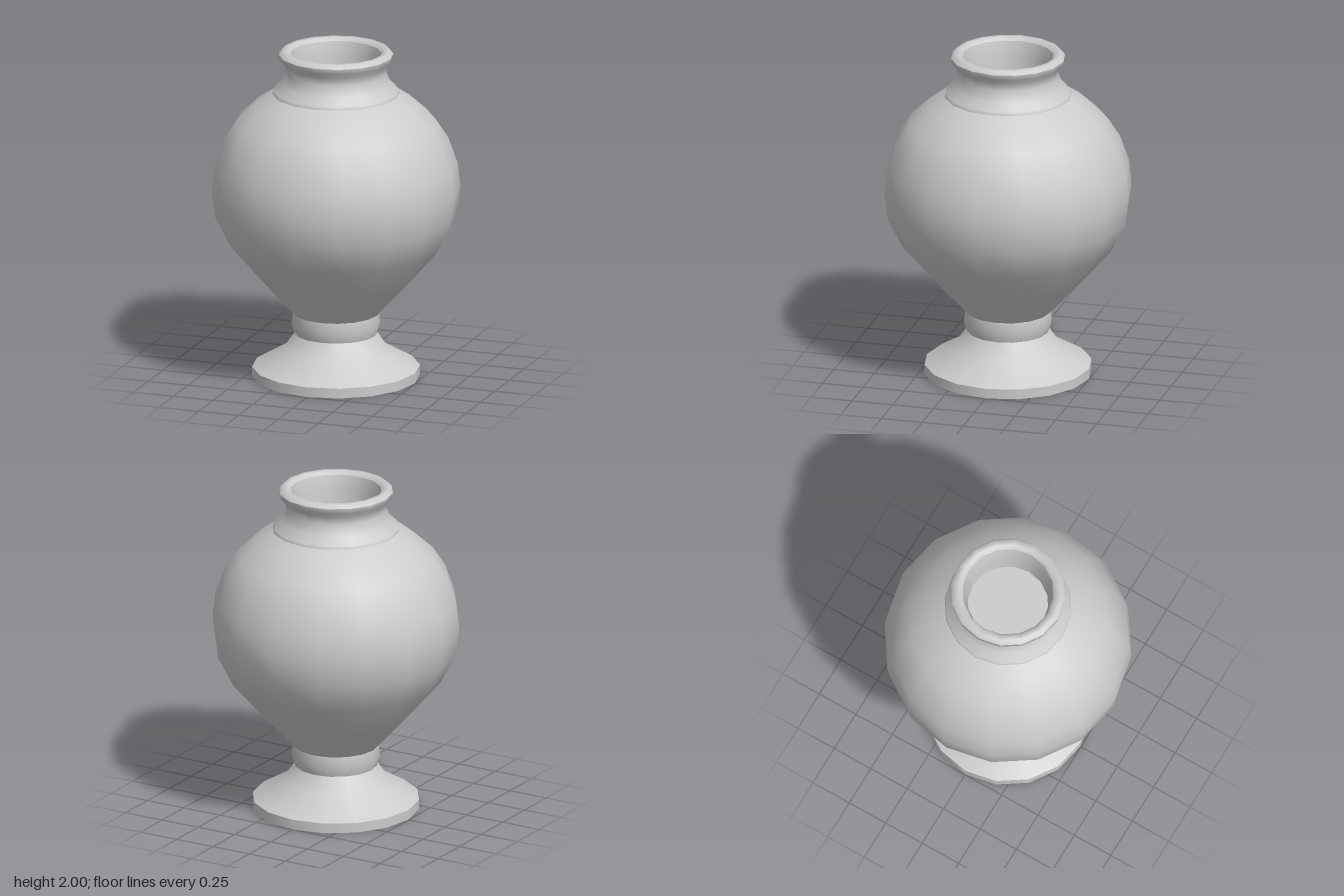
import * as THREE from 'three';

const SIDES = 16;

// Each section is one smooth band of [radius, y] points; edges between sections stay sharp.
// Points run from the underside up the outside, over the lip and down the inside.
const sections = {
  footUnderside: [[0, 0], [0.497, 0]],
  footEdge: [[0.497, 0], [0.497, 0.06]],
  footSlope: [[0.497, 0.06], [0.31, 0.17], [0.245, 0.265]],
  stemCollar: [[0.245, 0.265], [0.264, 0.325], [0.255, 0.39]],
  body: [
    [0.255, 0.39], [0.43, 0.58], [0.627, 0.805], [0.717, 0.985], [0.737, 1.155],
    [0.72, 1.3], [0.665, 1.455], [0.59, 1.57], [0.48, 1.67], [0.378, 1.737],
  ],
  neck: [
    [0.378, 1.737], [0.373, 1.758], [0.325, 1.8], [0.297, 1.865],
    [0.306, 1.915], [0.337, 1.947], [0.34, 1.977],
  ],
  lip: [[0.34, 1.977], [0.318, 2], [0.29, 2], [0.27, 1.98]],
  innerWall: [[0.27, 1.98], [0.25, 1.9], [0.24, 1.76]],
  innerFloor: [[0.24, 1.76], [0, 1.76]],
};

export function createModel() {
  const urn = new THREE.Group();
  urn.name = 'urn';
  const material = new THREE.MeshStandardMaterial({ color: 0xcccccc });

  for (const [name, profile] of Object.entries(sections)) {
    const points = profile.map(([r, y]) => new THREE.Vector2(r, y));
    const mesh = new THREE.Mesh(new THREE.LatheGeometry(points, SIDES), material);
    mesh.name = name;
    urn.add(mesh);
  }
  return urn;
}
